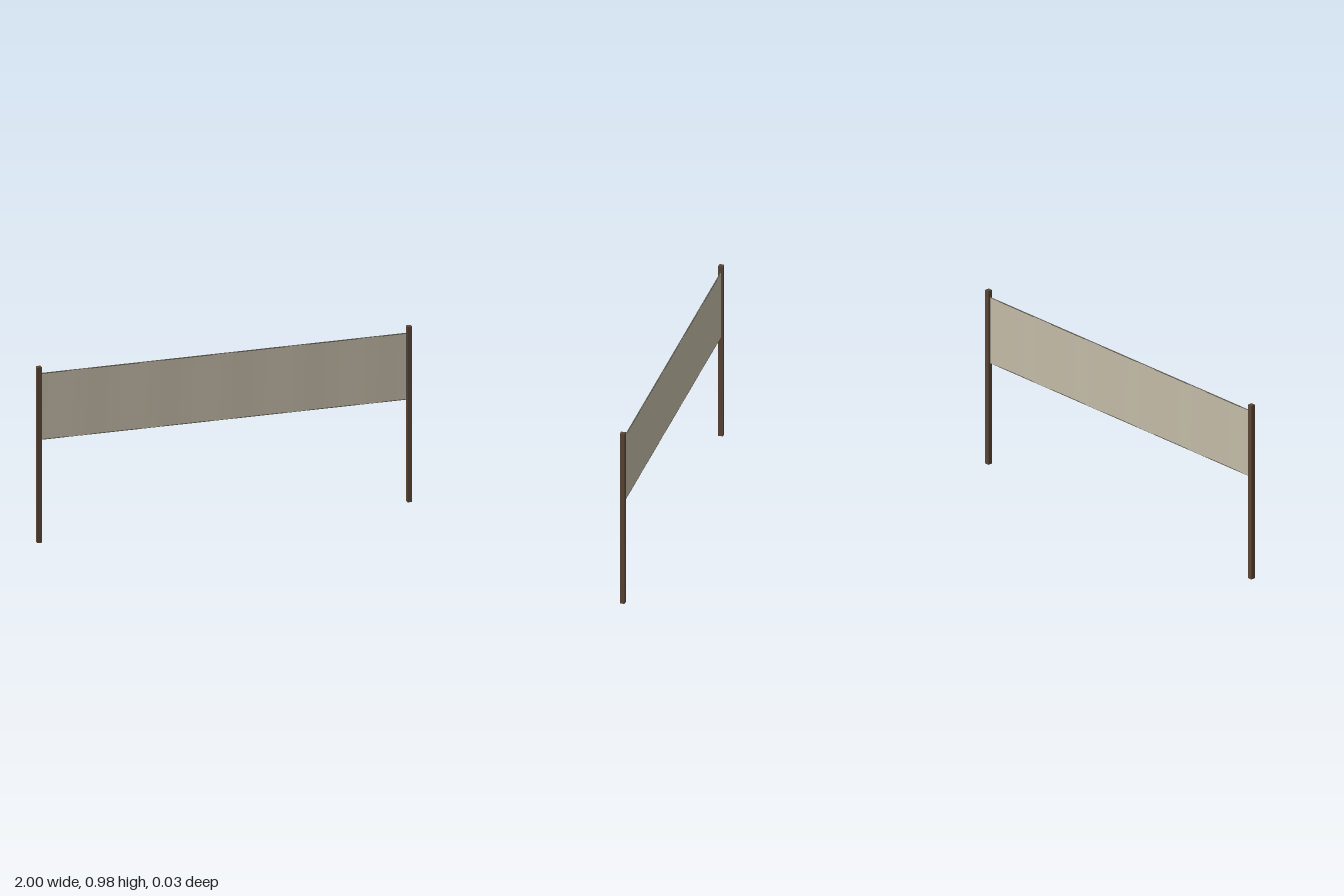
import * as THREE from 'three';

export function createModel() {
  const group = new THREE.Group();
  const wood = new THREE.MeshStandardMaterial({ color: 0x5a4636 });
  wood.name = 'dark wood';
  const cloth = new THREE.MeshStandardMaterial({ color: 0xc4bca8 });
  cloth.name = 'beige cloth';
  const cord = new THREE.MeshStandardMaterial({ color: 0x5f5c52 });
  cord.name = 'grey cord';

  const POST = 0.025, HEIGHT = 0.975, HALF = 0.97, BOTTOM = 0.568, TOP = 0.938;
  const MID = (BOTTOM + TOP) / 2, PERIOD = 2 * HALF / 5;

  function box(name, material, w, h, d, x, y) {
    const mesh = new THREE.Mesh(new THREE.BoxGeometry(w, h, d), material);
    mesh.name = name;
    mesh.position.set(x, y, 0);
    group.add(mesh);
  }

  // Square posts and the cords that tie the cloth to them
  for (const side of [-1, 1]) {
    const name = side > 0 ? 'left' : 'right';
    box(name + 'Post', wood, POST, HEIGHT, POST, side * (1 - POST / 2), HEIGHT / 2);
    box(name + 'SideCord', cord, 0.005, TOP - BOTTOM, 0.004, side * (HALF + 0.0025), MID);
  }

  // Cords along the upper and lower hems
  box('topCord', cord, 2 * HALF, 0.004, 0.005, 0, TOP - 0.002);
  box('bottomCord', cord, 2 * HALF, 0.004, 0.005, 0, BOTTOM + 0.002);

  // Thin cloth panel with five very shallow forward ripples
  const geometry = new THREE.BoxGeometry(2 * HALF, TOP - BOTTOM - 0.004, 0.004, 60, 1, 1);
  const p = geometry.attributes.position;
  for (let i = 0; i < p.count; i++) {
    p.setZ(i, p.getZ(i) + 0.001 * Math.cos(2 * Math.PI * p.getX(i) / PERIOD));
  }
  geometry.computeVertexNormals();
  const panel = new THREE.Mesh(geometry, cloth);
  panel.name = 'clothPanel';
  panel.position.y = MID;
  group.add(panel);

  return group;
}
